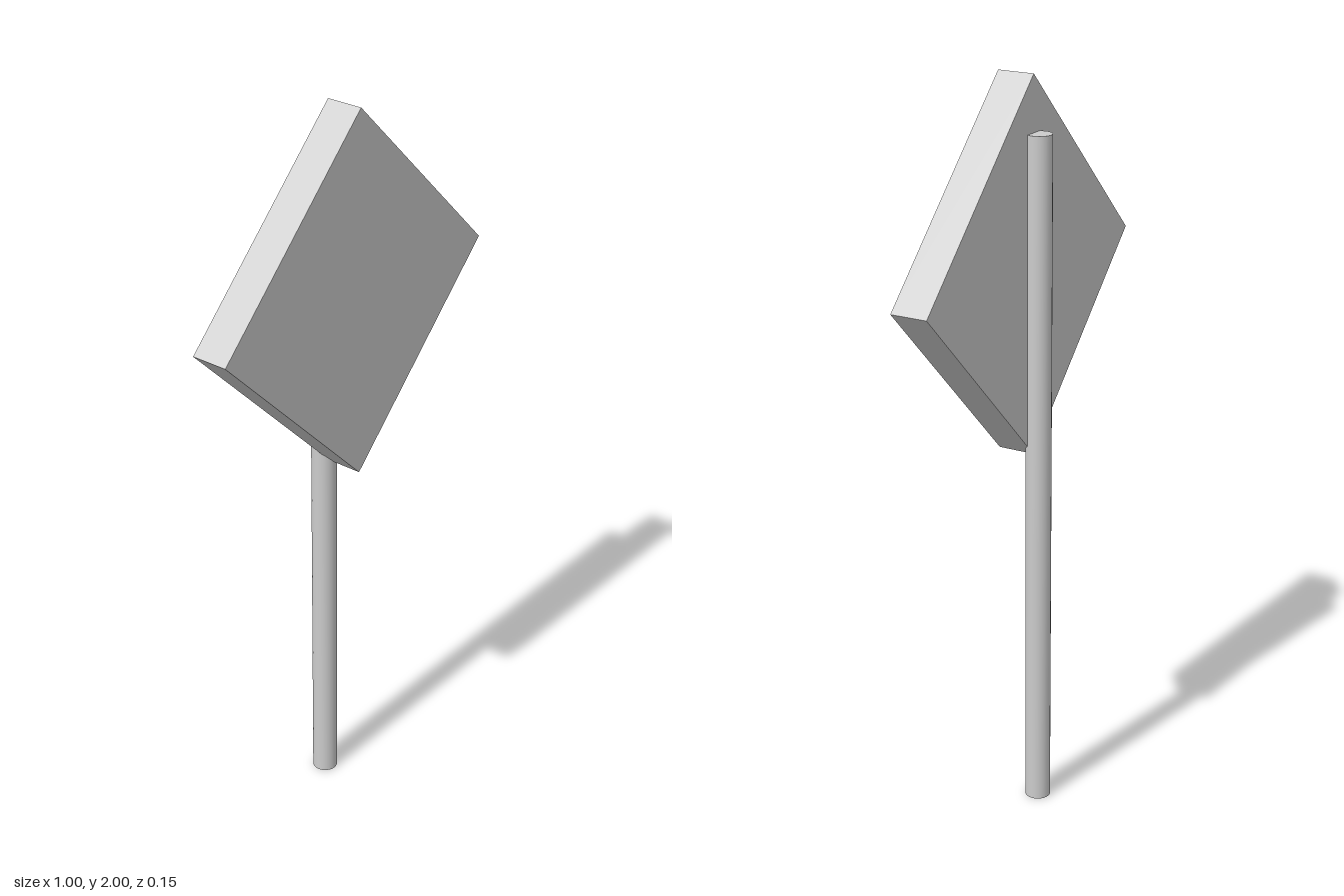
import * as THREE from 'three';

export function createModel() {
  const model = new THREE.Group();
  const material = new THREE.MeshStandardMaterial({ color: 0xcccccc });

  // Square panel standing on one corner
  const halfDiagonal = 0.498;
  const side = halfDiagonal * Math.SQRT2;
  const panel = new THREE.Mesh(new THREE.BoxGeometry(side, side, 0.102), material);
  panel.name = 'signPanel';
  panel.rotation.z = Math.PI / 4;
  panel.position.set(0, 2 - halfDiagonal, 0.025);
  model.add(panel);

  // Round post, partly sunk into the back of the panel
  const postHeight = 1.853;
  const post = new THREE.Mesh(new THREE.CylinderGeometry(0.034, 0.034, postHeight, 24), material);
  post.name = 'post';
  post.position.set(0, postHeight / 2, -0.042);
  model.add(post);

  return model;
}
